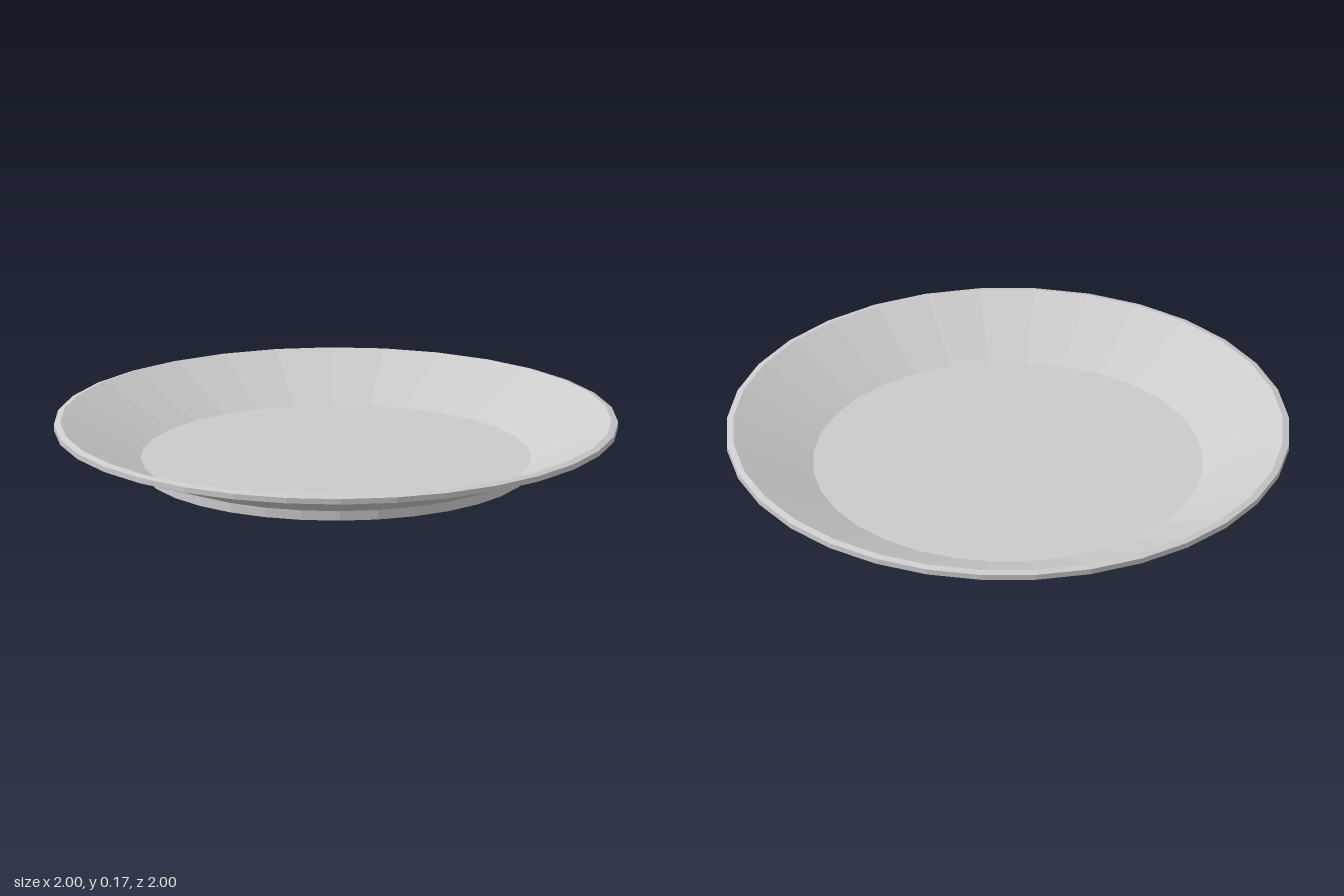
import * as THREE from 'three';

const SIDES = 32;

export function createModel() {
  const group = new THREE.Group();
  group.name = 'plate';
  const material = new THREE.MeshStandardMaterial({ color: 0xcccccc, flatShading: true });

  // Turns a [radius, height] profile around the y axis
  const turn = (name, profile) => {
    const points = profile.map(([r, y]) => new THREE.Vector2(r, y));
    const mesh = new THREE.Mesh(new THREE.LatheGeometry(points, SIDES), material);
    mesh.name = name;
    group.add(mesh);
  };

  // Underside and low foot
  turn('foot', [[0, 0], [0.693, 0], [0.693, 0.035]]);
  // Flared outer wall
  turn('outerWall', [[0.693, 0.035], [1, 0.145]]);
  // Upright edge with a slightly sloping top
  turn('rim', [[1, 0.145], [1, 0.165], [0.977, 0.172]]);
  // Sloping inner wall and flat floor
  turn('bowl', [[0.977, 0.172], [0.693, 0.04], [0, 0.04]]);

  return group;
}
